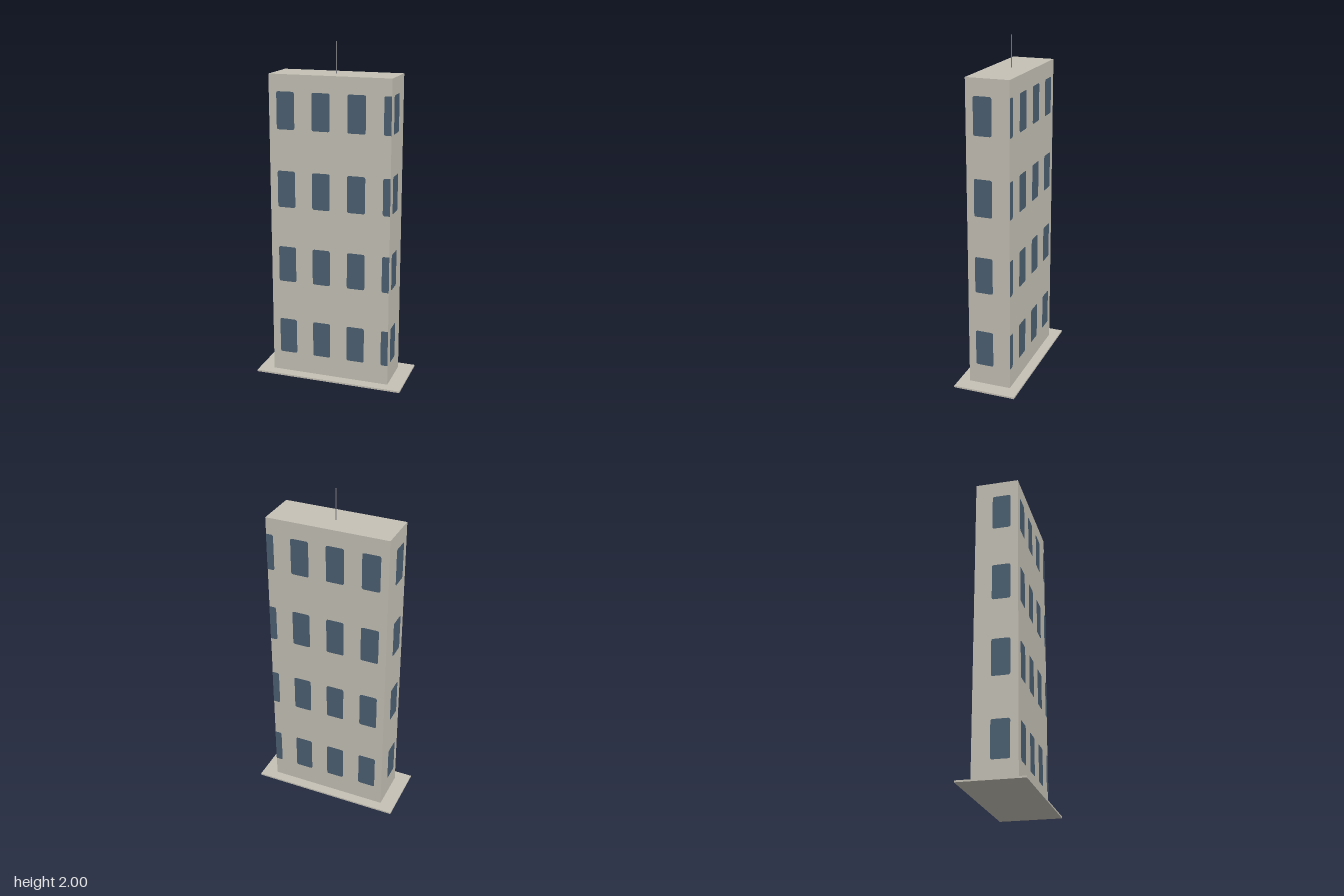
import * as THREE from 'three';

const wall = new THREE.MeshStandardMaterial({ color: 0xc5c1b6 });
wall.name = 'concrete';
const glass = new THREE.MeshStandardMaterial({ color: 0x4c6072 });
glass.name = 'windowGlass';
const metal = new THREE.MeshStandardMaterial({ color: 0x7c7e82 });
metal.name = 'antennaMetal';

const W = 0.722, D = 0.253, H = 1.82, BASE = 0.01, CX = -0.001, CZ = -0.0015;

function add(parent, name, geometry, material, x, y, z) {
  const mesh = new THREE.Mesh(geometry, material);
  mesh.name = name;
  mesh.position.set(x, y, z);
  parent.add(mesh);
  return mesh;
}

// Window pane with clipped corners; a side cut by the wall edge stays square
function pane(u0, u1, y0, y1, cutLeft, cutRight) {
  const l = cutLeft ? 0 : 0.012, r = cutRight ? 0 : 0.012;
  const s = new THREE.Shape();
  s.moveTo(u0 + l, y0);
  s.lineTo(u1 - r, y0);
  s.quadraticCurveTo(u1, y0, u1, y0 + r);
  s.lineTo(u1, y1 - r);
  s.quadraticCurveTo(u1, y1, u1 - r, y1);
  s.lineTo(u0 + l, y1);
  s.quadraticCurveTo(u0, y1, u0, y1 - l);
  s.lineTo(u0, y0 + l);
  s.quadraticCurveTo(u0, y0, u0 + l, y0);
  return new THREE.ShapeGeometry(s, 3);
}

export function createModel() {
  const model = new THREE.Group();
  model.name = 'apartmentBlock';

  // Ground slab, tower and roof antenna
  add(model, 'baseSlab', new THREE.BoxGeometry(0.9, BASE, 0.374), wall, 0, BASE / 2, 0);
  add(model, 'tower', new THREE.BoxGeometry(W, H - BASE, D), wall, CX, (H + BASE) / 2, CZ);
  add(model, 'antenna', new THREE.CylinderGeometry(0.0035, 0.0035, 2 - H, 8), metal, CX, (2 + H) / 2, CZ);

  // Window columns across the long walls (x) and one on each short wall (z)
  const xMax = CX + W / 2;
  const columns = [-0.316, -0.105, 0.106, 0.317].map((x) => [x, Math.min(x + 0.107, xMax)]);
  const side = [-0.026, 0.081];
  const walls = [
    { name: 'front', turn: 0, sign: 1, spans: columns, pos: [0, CZ + D / 2 + 0.002] },
    { name: 'back', turn: Math.PI, sign: -1, spans: columns, pos: [0, CZ - D / 2 - 0.002] },
    { name: 'left', turn: Math.PI / 2, sign: -1, spans: [side], pos: [xMax + 0.002, 0] },
    { name: 'right', turn: -Math.PI / 2, sign: 1, spans: [side], pos: [CX - W / 2 - 0.002, 0] },
  ];

  for (const { name, turn, sign, spans, pos } of walls) {
    const group = new THREE.Group();
    group.name = name + 'Windows';
    group.rotation.y = turn;
    group.position.set(pos[0], 0, pos[1]);
    for (const [a, b] of spans) {
      const cut = b === xMax;
      const [u0, u1] = sign > 0 ? [a, b] : [-b, -a];
      for (let row = 0; row < 4; row++) {
        const y = 0.131 + row * 0.4585;
        const geometry = pane(u0, u1, y, y + 0.217, cut && sign < 0, cut && sign > 0);
        add(group, 'window', geometry, glass, 0, 0, 0);
      }
    }
    model.add(group);
  }
  return model;
}
